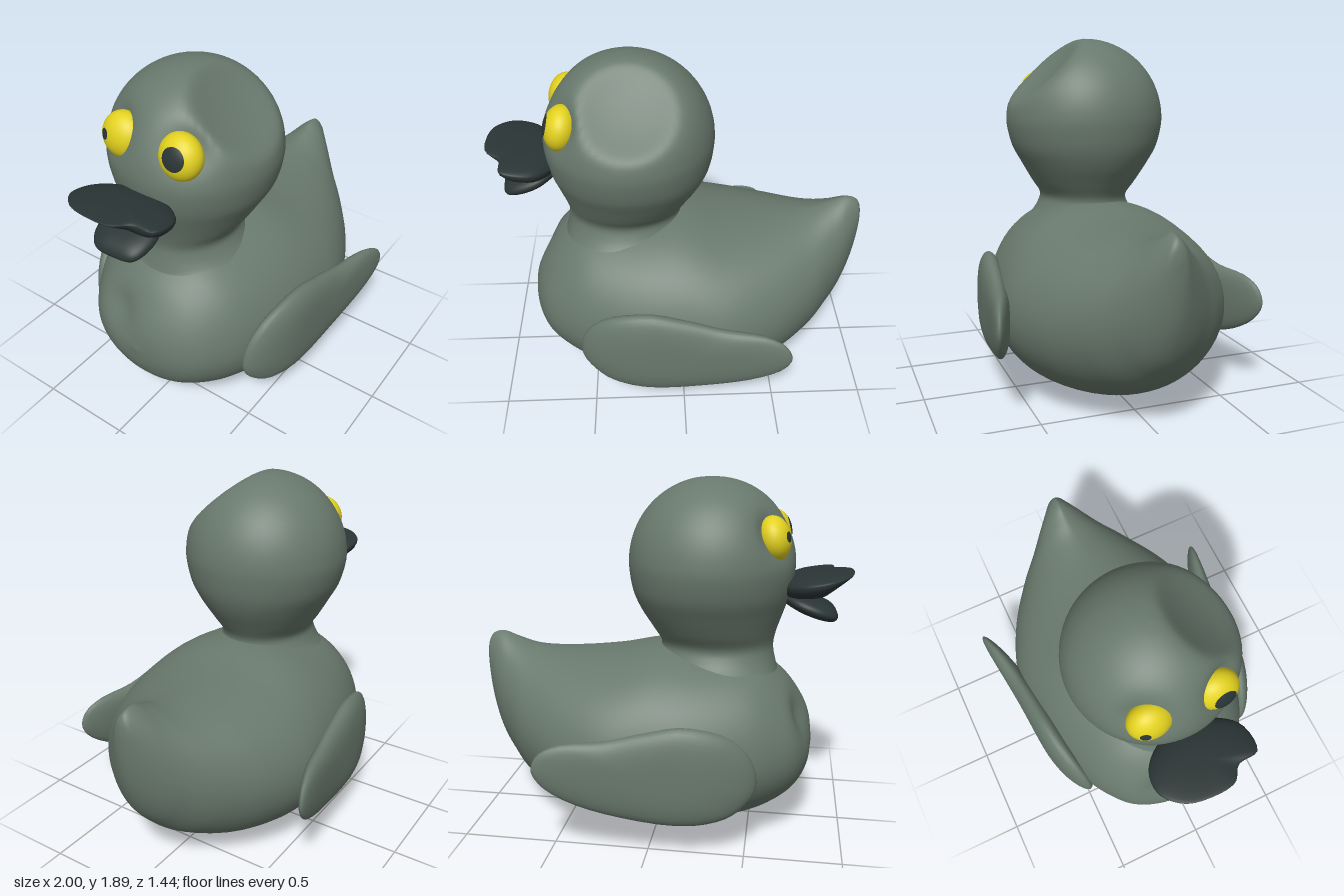
import * as THREE from 'three';

const plumage = new THREE.MeshStandardMaterial({ color: 0x69796d });
const yellow = new THREE.MeshStandardMaterial({ color: 0xe2d11f });
const dark = new THREE.MeshStandardMaterial({ color: 0x2b3535 });
plumage.name = 'greyGreen';
yellow.name = 'eyeYellow';
dark.name = 'beakDark';

// Smooth skin over a list of closed rings of Vector3
function loft(rings, flip = false) {
  const n = rings[0].length, pos = [], idx = [];
  rings.forEach(r => r.forEach(p => pos.push(p.x, p.y, p.z)));
  for (let i = 0; i < rings.length - 1; i++) {
    for (let j = 0; j < n; j++) {
      const a = i * n + j, c = i * n + (j + 1) % n, b = a + n, d = c + n;
      if (flip) idx.push(a, c, b, c, d, b);
      else idx.push(a, b, c, c, b, d);
    }
  }
  const g = new THREE.BufferGeometry();
  g.setAttribute('position', new THREE.Float32BufferAttribute(pos, 3));
  g.setIndex(idx);
  g.computeVertexNormals();
  return g;
}

// Spline through rows of numbers, sampled in step
function sampleRows(rows, steps) {
  const line = k => new THREE.CatmullRomCurve3(
    rows.map(r => new THREE.Vector3(r[k] ?? 0, r[k + 1] ?? 0, r[k + 2] ?? 0)), false, 'catmullrom');
  const a = line(0), b = line(3), out = [];
  for (let i = 0; i <= steps; i++) out.push([...a.getPoint(i / steps), ...b.getPoint(i / steps)]);
  return out;
}

// Rounded slab: an outline scaled about its middle; place(u, v, bulge) gives the point
function pillow(outline, place, flip) {
  const pts = new THREE.CatmullRomCurve3(outline.map(p => new THREE.Vector3(p[0], p[1], 0)), true)
    .getPoints(48).slice(0, -1);
  const mid = pts.reduce((m, p) => m.addScaledVector(p, 1 / pts.length), new THREE.Vector3());
  const rings = [];
  for (let i = 0; i <= 24; i++) {
    const t = (i / 24 - 0.5) * Math.PI;
    const s = Math.max(Math.cos(t), 0.0002);
    const bulge = Math.sign(t) * Math.sqrt(1 - s ** 3);
    rings.push(pts.map(p => {
      const q = mid.clone().lerp(p, s);
      return place(q.x, q.y, bulge);
    }));
  }
  return loft(rings, flip);
}

function add(parent, name, geometry, material) {
  const m = new THREE.Mesh(geometry, material);
  m.name = name;
  parent.add(m);
  return m;
}

function bodyGeometry() {
  // x, bottom, top, half width, height of widest point, peakedness of the back
  const rows = [
    [-0.83, 0.48, 0.481, 0.0005, 0.4805, 1], [-0.81, 0.35, 0.62, 0.17, 0.48, 1],
    [-0.75, 0.24, 0.74, 0.31, 0.48, 1], [-0.65, 0.155, 0.86, 0.41, 0.48, 1],
    [-0.5, 0.085, 0.95, 0.5, 0.48, 0.95], [-0.25, 0.025, 0.985, 0.58, 0.47, 0.92],
    [0, 0, 1.0, 0.61, 0.47, 0.92], [0.25, 0.02, 0.952, 0.605, 0.48, 0.92],
    [0.5, 0.085, 0.935, 0.51, 0.5, 1], [0.7, 0.195, 0.95, 0.37, 0.55, 1.2],
    [0.82, 0.31, 0.99, 0.25, 0.61, 1.35], [0.9, 0.42, 1.02, 0.165, 0.68, 1.4],
    [0.96, 0.57, 1.01, 0.09, 0.78, 1.3], [0.99, 0.74, 0.97, 0.045, 0.87, 1],
    [1, 0.9, 0.901, 0.0005, 0.9005, 1],
  ];
  const dent = new THREE.Vector3(-0.76, 0.64, -0.13);
  const rings = sampleRows(rows, 84).map(([x, lo, hi, w, yc, q]) => {
    const ring = [];
    for (let j = 0; j < 64; j++) {
      const t = j / 64 * Math.PI * 2, c = Math.cos(t), s = Math.sin(t);
      const z = w * Math.sign(c) * Math.abs(c) ** (s > 0 ? q : 1);
      const p = new THREE.Vector3(x, yc + s * (s > 0 ? hi - yc : yc - lo), z);
      // shallow hollow in the chest
      p.x += 0.05 * Math.exp(-((p.distanceTo(dent) / 0.11) ** 2));
      ring.push(p);
    }
    return ring;
  });
  return loft(rings);
}

function headGeometry() {
  // y, centre x, x radius, z radius; the lowest rows tuck into the body
  const rows = [
    [0.74, -0.3, 0.28, 0.34], [0.83, -0.3, 0.335, 0.385], [0.9, -0.3, 0.322, 0.3],
    [0.96, -0.3, 0.308, 0.256], [1.02, -0.3, 0.303, 0.243],
    [1.1, -0.285, 0.335, 0.295], [1.2, -0.27, 0.383, 0.355], [1.3, -0.265, 0.42, 0.41],
  ];
  for (let i = 0; i <= 9; i++) {
    const a = -0.08 + (Math.PI / 2 + 0.08) * i / 9, r = Math.max(0.44 * Math.cos(a), 0.0005);
    rows.push([1.45 + 0.44 * Math.sin(a), -0.265, r, r]);
  }
  const sockets = [1, -1].map(s => new THREE.Vector3(-0.6, 1.62, s * 0.2));
  const rings = sampleRows(rows, 80).map(([y, cx, rx, rz]) => {
    const ring = [];
    for (let j = 0; j < 64; j++) {
      const t = j / 64 * Math.PI * 2;
      const p = new THREE.Vector3(cx + rx * Math.cos(t), y, rz * Math.sin(t));
      // hollow pressed into one side of the crown, with a soft rim
      const over = p.z * 0.676 + (p.y - 1.45) * 0.736 - 0.36;
      const push = 1.4 * 0.014 * Math.log(1 + Math.exp(over / 0.014));
      // shallow eye sockets
      const sink = sockets.reduce((m, e) => m + 0.065 * Math.exp(-((p.distanceTo(e) / 0.12) ** 2)), 0);
      p.x += sink;
      p.z -= push * 0.676;
      p.y -= push * 0.736;
      ring.push(p);
    }
    return ring;
  });
  return loft(rings);
}

function wingGeometry(side) {
  const outline = [
    [-0.55, 0.38], [-0.53, 0.53], [-0.42, 0.66], [-0.2, 0.722], [0, 0.69], [0.2, 0.645], [0.42, 0.63],
    [0.52, 0.58], [0.55, 0.5], [0.5, 0.41], [0.35, 0.31], [0.1, 0.23], [-0.2, 0.195], [-0.4, 0.23], [-0.48, 0.28],
  ];
  // curves in towards the chest and out towards the tip
  return pillow(outline, (x, y, b) => {
    const bend = 0.17 * Math.max(0, x) ** 2 - 0.4 * Math.max(0, -x - 0.2) ** 2;
    const z = 0.602 + 0.1 * x + bend + b * (0.065 - 0.03 * x);
    return new THREE.Vector3(x, y, side * z);
  }, side < 0);
}

// Eyeball with a pupil cap lying just over it
function eye(side, pupilAngle, aim) {
  const g = new THREE.Group();
  add(g, 'eyeball', new THREE.SphereGeometry(1, 32, 20), yellow);
  const cap = new THREE.SphereGeometry(1.02, 24, 6, 0, Math.PI * 2, 0, pupilAngle);
  const pupil = add(g, 'pupil', cap, dark);
  pupil.quaternion.setFromUnitVectors(new THREE.Vector3(0, 1, 0), aim.normalize());
  g.scale.set(0.086, 0.116, 0.115);
  g.position.set(-0.59, 1.597, side * 0.167);
  g.rotation.z = -0.2;
  g.name = side > 0 ? 'eyeFront' : 'eyeBack';
  return g;
}

export function createModel() {
  const duck = new THREE.Group();
  duck.name = 'duck';
  add(duck, 'body', bodyGeometry(), plumage);
  add(duck, 'head', headGeometry(), plumage);
  add(duck, 'wingFront', wingGeometry(1), plumage);
  add(duck, 'wingBack', wingGeometry(-1), plumage);
  duck.add(eye(1, 0.52, new THREE.Vector3(-1, 0.08, 0.12)));
  duck.add(eye(-1, 0.24, new THREE.Vector3(-0.86, 0.02, -0.48)));

  // Broad upper bill with a missing corner
  const upper = [
    [-1, -0.08], [-0.97, -0.18], [-0.88, -0.26], [-0.76, -0.25], [-0.66, -0.15], [-0.62, 0],
    [-0.66, 0.15], [-0.75, 0.25], [-0.9, 0.25], [-0.92, 0.14], [-0.99, 0.08],
  ];
  add(duck, 'upperBill', pillow(upper, (x, z, b) => {
    const out = -x - 0.65;
    const thick = b > 0 ? 0.055 - 0.12 * out : 0.088 - 0.48 * Math.max(0, out - 0.2);
    return new THREE.Vector3(x, 1.34 + 0.22 * out + b * thick, z);
  }), dark);

  // Narrower lower bill, drooping forward
  const lower = [
    [-0.93, 0.02], [-0.92, -0.1], [-0.84, -0.155], [-0.72, -0.14], [-0.62, 0],
    [-0.72, 0.14], [-0.84, 0.155], [-0.91, 0.12],
  ];
  add(duck, 'lowerBill', pillow(lower, (x, z, b) =>
    new THREE.Vector3(x, 1.275 + 0.33 * (x + 0.65) + b * 0.05, z)), dark);
  return duck;
}
